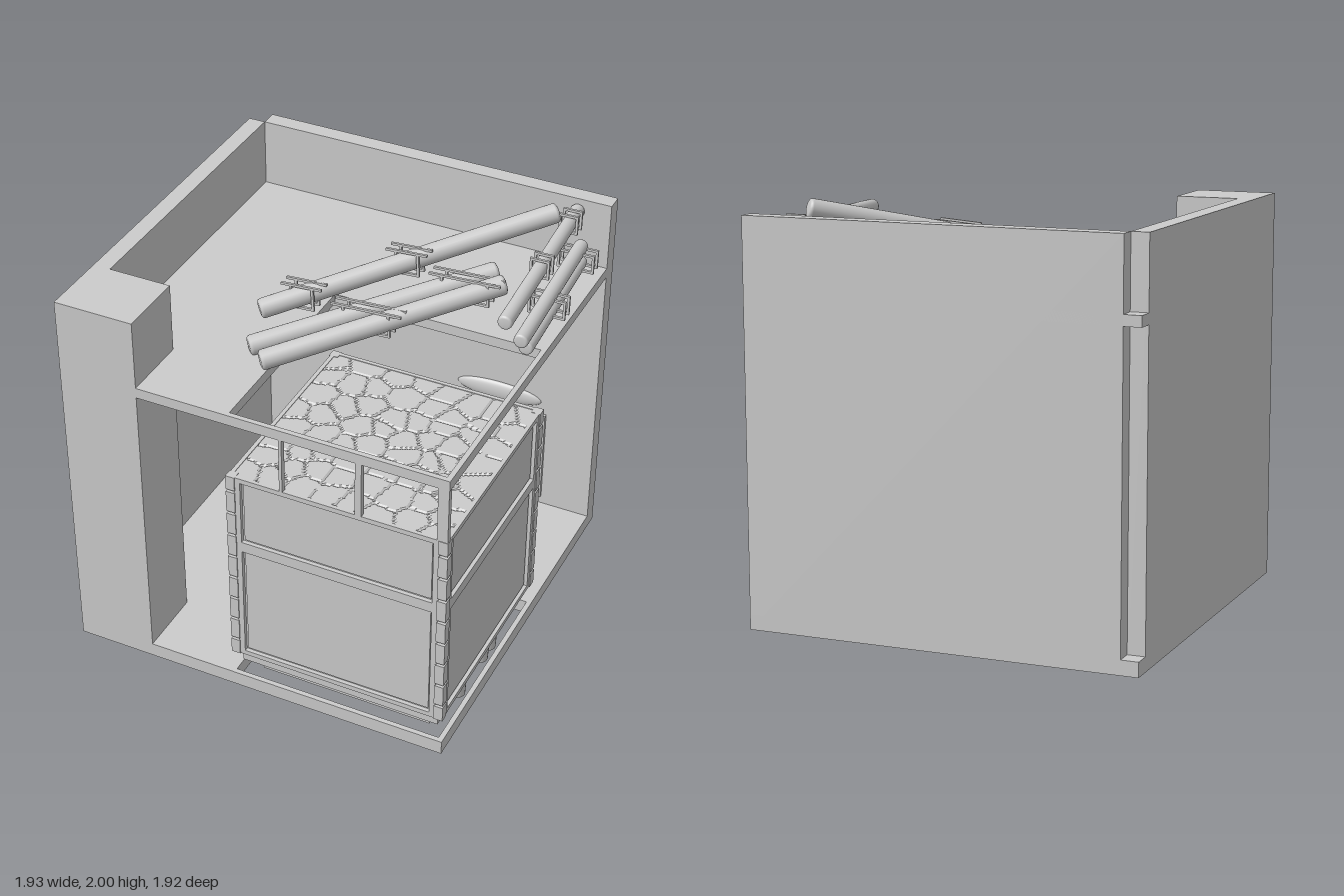
import * as THREE from 'three';

const grey = new THREE.MeshStandardMaterial({ color: 0xcccccc });
const stoneGrey = new THREE.MeshStandardMaterial({ color: 0xcccccc, flatShading: true });
const V = (x, y, z) => new THREE.Vector3(x, y, z);

function add(parent, name, geometry, material = grey) {
  const mesh = new THREE.Mesh(geometry, material);
  mesh.name = name;
  parent.add(mesh);
  return mesh;
}

// Box given by its lower and upper limits on each axis
function block(parent, name, x0, x1, y0, y1, z0, z1) {
  const mesh = add(parent, name, new THREE.BoxGeometry(x1 - x0, y1 - y0, z1 - z0));
  mesh.position.set((x0 + x1) / 2, (y0 + y1) / 2, (z0 + z1) / 2);
  return mesh;
}

function rect(PathType, x0, x1, y0, y1) {
  return new PathType([[x0, y0], [x1, y0], [x1, y1], [x0, y1]].map(p => new THREE.Vector2(...p)));
}

// Flat floor plate with a square opening
function plate(parent, name, y0, y1, hole0, hole1) {
  const shape = rect(THREE.Shape, -0.965, 0.96, -0.96, 0.965);
  shape.holes.push(rect(THREE.Path, hole0, hole1, -hole1, -hole0));
  const geo = new THREE.ExtrudeGeometry(shape, { depth: y1 - y0, bevelEnabled: false });
  add(parent, name, geo.rotateX(-Math.PI / 2)).position.y = y0;
}

// Log with softly rounded ends, from point a to point b
function log(parent, a, b, r) {
  const len = a.distanceTo(b), e = r * 0.35;
  const profile = [[0, 0], [r * 0.7, 0], [r * 0.93, e * 0.35], [r, e], [r, len - e],
    [r * 0.93, len - e * 0.35], [r * 0.7, len], [0, len]].map(p => new THREE.Vector2(...p));
  const mesh = add(parent, 'log', new THREE.LatheGeometry(profile, 24));
  mesh.position.copy(a);
  mesh.quaternion.setFromUnitVectors(V(0, 1, 0), b.clone().sub(a).normalize());
}

// Pair of thin clamps around one or more logs; side is the wide direction
function clampPair(parent, centre, dir, side, half, r, over) {
  const group = new THREE.Group();
  group.name = 'clampPair';
  const d = dir.clone().normalize();
  const n = side.clone().cross(d).normalize();
  const s = d.clone().cross(n);
  group.quaternion.setFromRotationMatrix(new THREE.Matrix4().makeBasis(s, n, d));
  group.position.copy(centre);
  const t = 0.012;
  for (const z of [-0.028, 0.028]) {
    block(group, 'clampBar', -half - over, half + over, r, r + t, z - t / 2, z + t / 2);
    block(group, 'clampBase', -half - t, half + t, -r - t, -r, z - t / 2, z + t / 2);
    for (const m of [-1, 1]) {
      const x = m * (half + t / 2);
      block(group, 'clampLeg', x - t / 2, x + t / 2, -r, r, z - t / 2, z + t / 2);
    }
  }
  parent.add(group);
}

// Cobbled surface: flat stones parted by narrow grooves
function cobbles(size) {
  let seed = 7;
  const rnd = () => (seed = (seed * 16807) % 2147483647) / 2147483647;
  const cells = 8, pts = [];
  for (let i = 0; i < cells; i++) for (let j = 0; j < cells; j++) {
    pts.push([((i + 0.1 + 0.8 * rnd()) / cells - 0.5) * size, ((j + 0.1 + 0.8 * rnd()) / cells - 0.5) * size]);
  }
  const geo = new THREE.PlaneGeometry(size, size, 110, 110).rotateX(-Math.PI / 2);
  const pos = geo.attributes.position;
  for (let i = 0; i < pos.count; i++) {
    let d1 = 9, d2 = 9;
    for (const [px, pz] of pts) {
      const d = Math.hypot(pos.getX(i) - px, pos.getZ(i) - pz);
      if (d < d1) { d2 = d1; d1 = d; } else if (d < d2) d2 = d;
    }
    pos.setY(i, d2 - d1 < 0.008 ? -0.006 : 0);
  }
  geo.computeVertexNormals();
  return geo;
}

// Panelled crate with slotted corner posts, plinth and pipe feet
function makeCrate() {
  const crate = new THREE.Group();
  crate.name = 'crate';
  crate.position.set(0.415, 0, 0.415);
  block(crate, 'crateCore', -0.52, 0.52, 0.205, 1.235, -0.52, 0.52);
  block(crate, 'crateBase', -0.505, 0.505, 0.135, 0.205, -0.505, 0.505);
  block(crate, 'plinth', -0.435, 0.435, 0.05, 0.135, -0.435, 0.435);
  add(crate, 'cobbledTop', cobbles(1.07), stoneGrey).position.y = 1.252;

  const panels = [[0.23, 0.835], [0.89, 1.23]];
  for (let i = 0; i < 4; i++) {
    const side = new THREE.Group();
    side.name = 'crateSide';
    side.rotation.y = i * Math.PI / 2;
    // Face frame with two openings, each with a stepped inset panel
    const face = rect(THREE.Shape, -0.505, 0.505, 0.205, 1.255);
    for (const [y0, y1] of panels) face.holes.push(rect(THREE.Path, -0.475, 0.475, y0, y1));
    add(side, 'faceFrame', new THREE.ExtrudeGeometry(face, { depth: 0.02, bevelEnabled: false })).position.z = 0.52;
    for (const [y0, y1] of panels) block(side, 'insetPanel', -0.465, 0.465, y0 + 0.01, y1 - 0.01, 0.515, 0.526);
    // Corner post cut by evenly spaced slots
    block(side, 'postCore', 0.49, 0.53, 0.21, 1.25, 0.49, 0.53);
    const cuts = [0.205];
    for (let k = 0; k < 8; k++) cuts.push(0.285 + k * 0.126, 0.299 + k * 0.126);
    cuts.push(1.255);
    for (let k = 0; k < cuts.length; k += 2) {
      block(side, 'postSegment', 0.5, 0.545, cuts[k], cuts[k + 1], 0.5, 0.545);
    }
    crate.add(side);
  }
  // Pipe feet along one side
  for (const z of [0.605, 0.335, 0.24]) {
    const foot = add(crate, 'pipeFoot', new THREE.CylinderGeometry(0.045, 0.04, 0.09, 20));
    foot.position.set(0.465, 0.1, z - 0.415);
  }
  return crate;
}

export function createModel() {
  const model = new THREE.Group();
  model.name = 'cutawayRoom';

  // Room shell: walls stop short of each other at the back corner
  plate(model, 'lowerFloor', 0, 0.072, -0.12, 0.935);
  plate(model, 'upperFloor', 1.543, 1.595, -0.11, 0.935);
  block(model, 'backWall', -0.88, 0.96, 0, 1.94, -0.965, -0.88);
  block(model, 'sideWall', -0.965, -0.88, 0, 1.94, -0.88, 0.96);
  block(model, 'cornerPillar', -0.88, -0.57, 0, 1.94, 0.62, 0.96);

  model.add(makeCrate());

  // Posts between crate and upper floor
  for (const [x0, x1] of [[0.14, 0.155], [0.512, 0.543], [0.905, 0.957]]) {
    block(model, 'frontPost', x0, x1, 1.25, 1.545, 0.93, 0.957);
  }

  // Fittings on the back wall
  const knob = add(model, 'wallPaddle', new THREE.SphereGeometry(1, 28, 16));
  knob.scale.set(0.23, 0.055, 0.025);
  knob.position.set(0.44, 0.71, -0.88);
  block(model, 'wallStrip', 0.66, 0.7, 0.12, 0.64, -0.882, -0.862);
  for (let i = 0; i < 14; i++) {
    const y = 0.145 + i * 0.036;
    block(model, 'wallStripTooth', 0.67, 0.69, y, y + 0.014, -0.864, -0.854);
  }

  // Slanted logs on the upper floor: one single, two side by side
  const slanted = new THREE.Group();
  slanted.name = 'slantedLogs';
  const lone = [V(-0.32, 1.665, 0.25), V(0.76, 1.955, -0.7)];
  const twinA = [V(-0.25, 1.63, 0.49), V(0.63, 1.825, -0.3)];
  const twinB = [V(-0.15, 1.63, 0.57), V(0.71, 1.835, -0.2)];
  for (const [a, b] of [lone, twinA, twinB]) log(slanted, a, b, 0.048);
  const across = V(0.66, 0, 0.75);
  const along = (pair, t) => pair[0].clone().lerp(pair[1], t);
  for (const t of [0.15, 0.5]) {
    clampPair(slanted, along(lone, t), lone[1].clone().sub(lone[0]), across, 0.05, 0.05, 0.055);
  }
  for (const t of [0.46, 0.86]) {
    const mid = along(twinA, t).lerp(along(twinB, t), 0.5);
    clampPair(slanted, mid, twinA[1].clone().sub(twinA[0]), across, 0.108, 0.05, 0.07);
  }
  model.add(slanted);

  // Level logs stacked along the open side
  const stacked = new THREE.Group();
  stacked.name = 'stackedLogs';
  const top = [V(0.795, 1.88, -0.88), V(0.855, 1.88, 0.16)];
  const mid = [V(0.85, 1.738, -0.81), V(0.9, 1.738, 0.07)];
  const low = [V(0.85, 1.65, -0.81), V(0.895, 1.65, -0.01)];
  for (const [a, b] of [top, mid, low]) log(stacked, a, b, 0.035);
  for (const t of [0.11, 0.51]) {
    clampPair(stacked, along(top, t), top[1].clone().sub(top[0]), V(0, 1, 0), 0.036, 0.037, 0.012);
  }
  for (const t of [0.06, 0.54]) {
    const c = along(mid, t);
    c.y = 1.694;
    clampPair(stacked, c, mid[1].clone().sub(mid[0]), V(0, 1, 0), 0.08, 0.037, 0.012);
  }
  model.add(stacked);

  return model;
}
